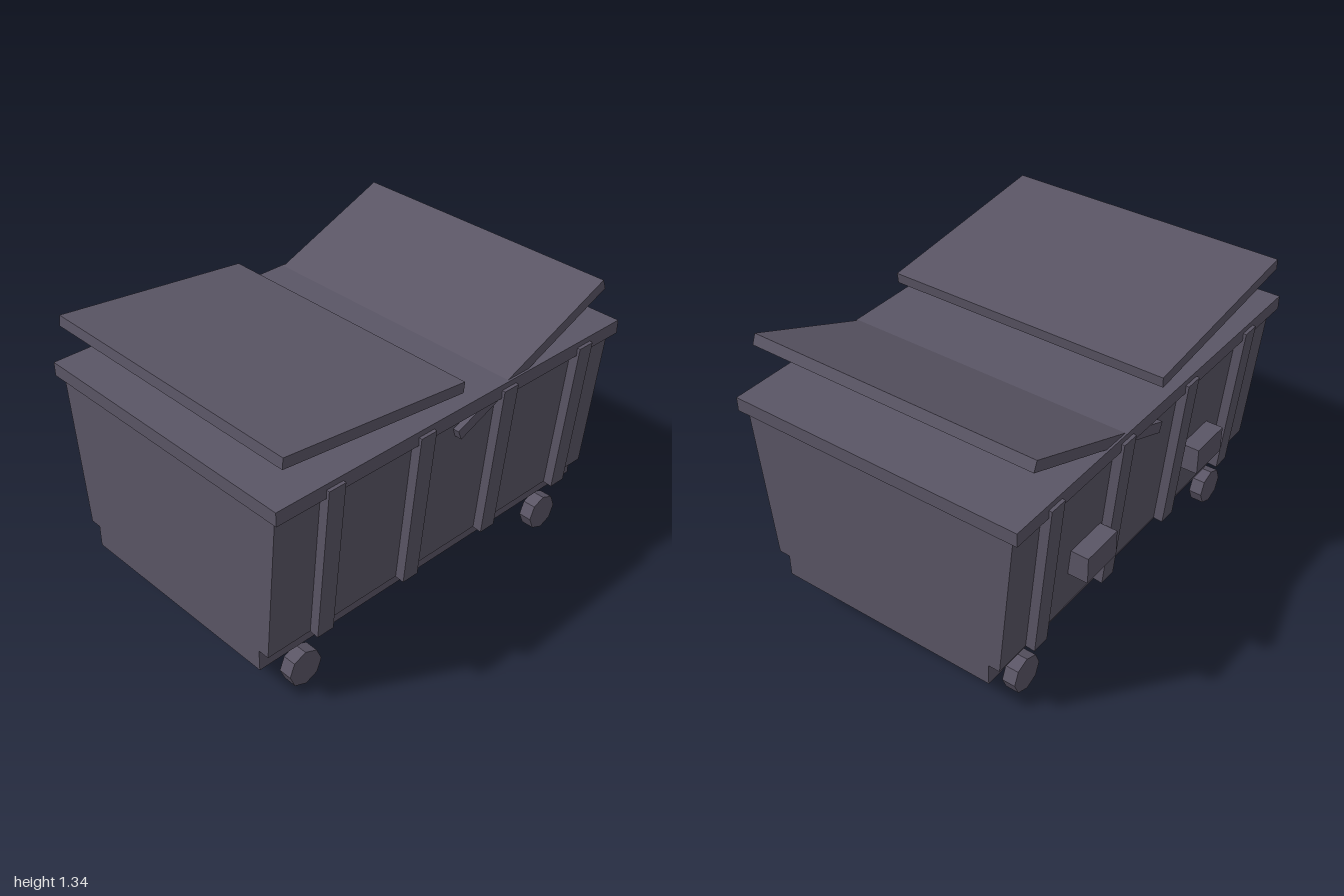
import * as THREE from 'three';

export function createModel() {
  const model = new THREE.Group();
  const paint = new THREE.MeshStandardMaterial({ color: 0x5a5565, flatShading: true });
  paint.name = 'greyPurplePaint';

  const add = (name, geometry, x, y, z) => {
    const mesh = new THREE.Mesh(geometry, paint);
    mesh.name = name;
    mesh.position.set(x, y, z);
    model.add(mesh);
    return mesh;
  };
  const box = (name, w, h, d, x, y, z) => add(name, new THREE.BoxGeometry(w, h, d), x, y, z);

  // Container with front and back flaring outward, on a narrower base
  const flare = new THREE.Shape([
    new THREE.Vector2(-0.6, 0.305), new THREE.Vector2(0.6, 0.305),
    new THREE.Vector2(0.672, 1.05), new THREE.Vector2(-0.672, 1.05),
  ]);
  const body = new THREE.ExtrudeGeometry(flare, { depth: 1.956, bevelEnabled: false });
  body.translate(0, 0, -0.978).rotateY(Math.PI / 2);
  add('body', body, 0, 0, 0);
  box('base', 1.956, 0.12, 1.09, 0, 0.26, 0);
  box('rim', 2, 0.065, 1.41, 0, 1.0675, 0);

  // Sloping ribs on the front and back
  for (const x of [-0.71, -0.22, 0.27, 0.76]) {
    for (const side of [1, -1]) {
      const rib = box('rib', 0.086, 0.777, 0.045, x, 0.688, side * 0.66);
      rib.rotation.x = side * 0.0965;
    }
  }

  // Two open lids, tilted about the depth axis
  box('rightLid', 0.957, 0.05, 1.39, -0.476, 1.235, 0).rotation.z = -0.106;
  box('leftLid', 0.957, 0.05, 1.39, 0.433, 1.139, 0).rotation.z = 0.389;

  for (const side of [1, -1]) {
    // Lifting blocks on the back
    box('liftBlock', 0.212, 0.13, 0.13, side * 0.434, 0.578, -0.652);

    // Eight-sided wheels
    for (const end of [1, -1]) {
      const wheel = new THREE.CylinderGeometry(0.087, 0.087, 0.064, 8).rotateX(Math.PI / 2);
      add('wheel', wheel, side * 0.76, 0.088, end * 0.545);
    }
  }

  return model;
}
